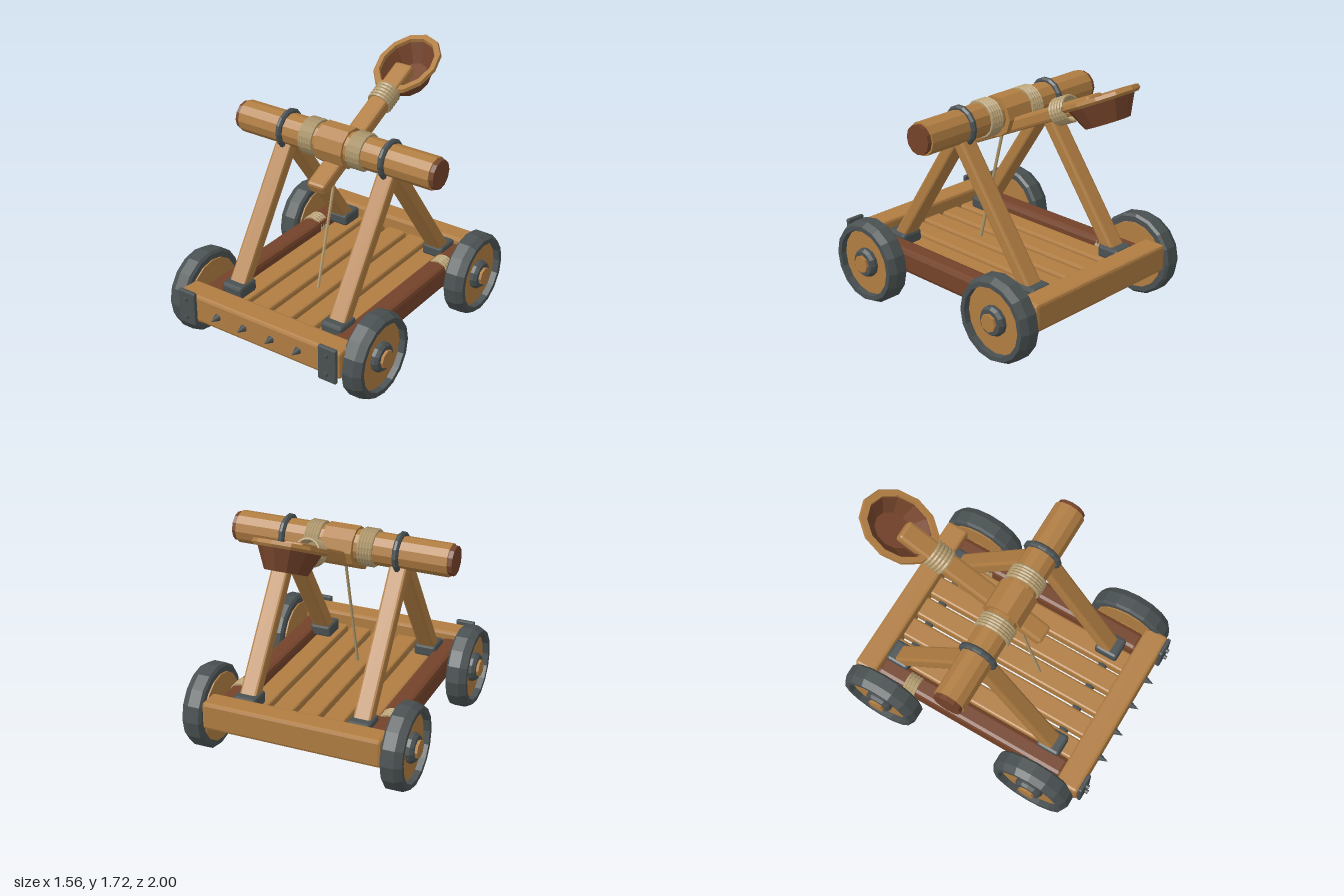
import * as THREE from 'three';
import { RoundedBoxGeometry } from 'three/addons/geometries/RoundedBoxGeometry.js';

const mat = (color) => new THREE.MeshStandardMaterial({ color, flatShading: true });
const WOOD = mat(0xb07d42), DARK = mat(0x74432a), METAL = mat(0x4a5152), ROPE = mat(0xb39c70);

export function createModel() {
  const model = new THREE.Group();

  const add = (name, geo, material, pos = [0, 0, 0], parent = model) => {
    const mesh = new THREE.Mesh(geo, material);
    mesh.name = name;
    mesh.position.set(...pos);
    parent.add(mesh);
    return mesh;
  };
  // Box with chamfered edges
  const block = (name, w, h, d, pos, material = WOOD, bevel = 0.015, parent = model) =>
    add(name, new RoundedBoxGeometry(w, h, d, 1, bevel), material, pos, parent);
  // Cylinder lying along x
  const rodX = (name, r, x0, x1, y, z, material, sides, parent = model) =>
    add(name, new THREE.CylinderGeometry(r, r, x1 - x0, sides).rotateZ(Math.PI / 2), material, [(x0 + x1) / 2, y, z], parent);
  // Beam in a plane of constant x, from [y, z] to [y, z]
  const slanted = (name, w, t, x, [y0, z0], [y1, z1]) => {
    const b = block(name, w, t, Math.hypot(y1 - y0, z1 - z0), [x, (y0 + y1) / 2, (z0 + z1) / 2], WOOD, 0.016);
    b.rotation.x = Math.atan2(y0 - y1, z1 - z0);
    return b;
  };
  // Rope rings stacked along local z
  const wrap = (name, n, rx, ry, pitch, pos, parent = model) => {
    const g = new THREE.Group();
    g.name = name;
    g.position.set(...pos);
    for (let i = 0; i < n; i++) {
      const ring = add('ropeRing', new THREE.TorusGeometry(1, 0.13, 6, 20), ROPE, [0, 0, (i - (n - 1) / 2) * pitch], g);
      ring.scale.set(rx, ry, 0.1);
    }
    parent.add(g);
    return g;
  };

  // Chassis: end beams, side rails, floor planks
  block('frontBeam', 1.27, 0.195, 0.165, [0, 0.342, 0.853], WOOD, 0.02);
  block('rearBeam', 1.23, 0.19, 0.16, [0, 0.34, -0.74], WOOD, 0.02);
  for (let i = -2; i <= 2; i++) block('floorPlank', 0.148, 0.1, 1.46, [i * 0.178, 0.3, 0.055]);
  for (const s of [1, -1]) {
    block('sideRail', 0.14, 0.165, 1.46, [s * 0.515, 0.313, 0.055], DARK, 0.03);
    wrap('railRope', 4, 0.08, 0.096, 0.024, [s * 0.522, 0.313, -0.408]);
  }

  // Front plates with bolts, and a row of spikes
  for (const s of [1, -1]) {
    block('cornerPlate', 0.135, 0.245, 0.03, [s * 0.553, 0.343, 0.947], METAL, 0.01);
    for (const y of [0.278, 0.41])
      add('bolt', new THREE.CylinderGeometry(0.015, 0.015, 0.03, 8).rotateX(Math.PI / 2), METAL, [s * 0.553, y, 0.968]);
  }
  for (const x of [-0.318, -0.108, 0.108, 0.318])
    add('spike', new THREE.ConeGeometry(0.028, 0.07, 8).rotateX(Math.PI / 2), METAL, [x, 0.342, 0.965]);

  // Wheels and axles
  const P = (x, y) => new THREE.Vector2(x, y);
  const tyre = new THREE.LatheGeometry(
    [P(0.225, 0.615), P(0.27, 0.615), P(0.287, 0.63), P(0.287, 0.71), P(0.262, 0.757), P(0.23, 0.757), P(0.225, 0.615)], 16).rotateZ(-Math.PI / 2);
  const hub = new THREE.LatheGeometry(
    [P(0.055, 0.7), P(0.1, 0.7), P(0.1, 0.74), P(0.085, 0.762), P(0.055, 0.762), P(0.055, 0.7)], 12).rotateZ(-Math.PI / 2);
  for (const z of [0.628, -0.562]) {
    rodX('axle', 0.032, -0.62, 0.62, 0.285, z, METAL, 8);
    for (const side of [0, Math.PI]) {
      const wheel = new THREE.Group();
      wheel.name = 'wheel';
      wheel.position.set(0, 0.285, z);
      wheel.rotation.y = side;
      add('tyre', tyre, METAL, [0, 0, 0], wheel);
      rodX('wheelDisc', 0.232, 0.605, 0.715, 0, 0, WOOD, 16, wheel);
      add('hubRing', hub, METAL, [0, 0, 0], wheel);
      rodX('axleCap', 0.06, 0.6, 0.78, 0, 0, WOOD, 8, wheel);
      model.add(wheel);
    }
  }

  // A-frame legs in metal shoes
  for (const s of [1, -1]) {
    const x = s * 0.397;
    for (const z of [0.615, -0.575]) {
      slanted('leg', 0.123, 0.088, x, [0.385, z], [1.25, 0.05]);
      block('legShoe', 0.16, 0.09, 0.17, [x, 0.385, z], METAL, 0.02);
    }
  }

  // Crossbar with end caps, bands, rope and central block
  const [cy, cz] = [1.31, 0.048];
  rodX('crossbar', 0.109, -0.735, 0.735, cy, cz, WOOD, 12);
  rodX('crossbarEnds', 0.097, -0.765, 0.765, cy, cz, DARK, 12);
  const band = new THREE.LatheGeometry(
    [P(0.1, -0.02), P(0.122, -0.02), P(0.135, -0.008), P(0.135, 0.008), P(0.122, 0.02), P(0.1, 0.02)], 14).rotateZ(-Math.PI / 2);
  for (const s of [1, -1]) {
    add('crossbarBand', band, METAL, [s * 0.395, cy, cz]);
    wrap('crossbarRope', 5, 0.113, 0.113, 0.02, [s * 0.186, cy, cz]).rotation.y = Math.PI / 2;
  }
  rodX('centreBlock', 0.137, -0.105, 0.105, 1.3, 0.042, WOOD, 10);

  // Throwing arm; local -z runs from the butt to the bowl
  const arm = new THREE.Group();
  arm.name = 'throwingArm';
  arm.position.set(0, 1.08, 0.296);
  arm.rotation.x = 0.44;
  model.add(arm);
  block('armBeam', 0.135, 0.09, 1.135, [0, 0, -0.5675], WOOD, 0.02, arm);
  wrap('armRope', 5, 0.08, 0.08, 0.026, [0, 0, -0.846], arm);

  // Bowl with a light rim
  const bowl = new THREE.LatheGeometry(
    [P(0, -0.145), P(0.125, -0.145), P(0.19, 0.005), P(0.172, 0.005), P(0.105, -0.115), P(0, -0.115)], 12);
  const rim = new THREE.LatheGeometry(
    [P(0.172, -0.012), P(0.205, -0.012), P(0.218, 0.005), P(0.212, 0.028), P(0.178, 0.028), P(0.172, -0.012)], 12);
  add('bowl', bowl, DARK, [0, 0, -1.16], arm).scale.z = 1.27;
  add('bowlRim', rim, WOOD, [0, 0, -1.16], arm).scale.z = 1.27;

  // Trigger rope from the arm to the floor
  const path = new THREE.LineCurve3(new THREE.Vector3(0, 1.17, 0.07), new THREE.Vector3(0, 0.34, 0.285));
  add('triggerRope', new THREE.TubeGeometry(path, 1, 0.011, 6), ROPE);

  return model;
}
